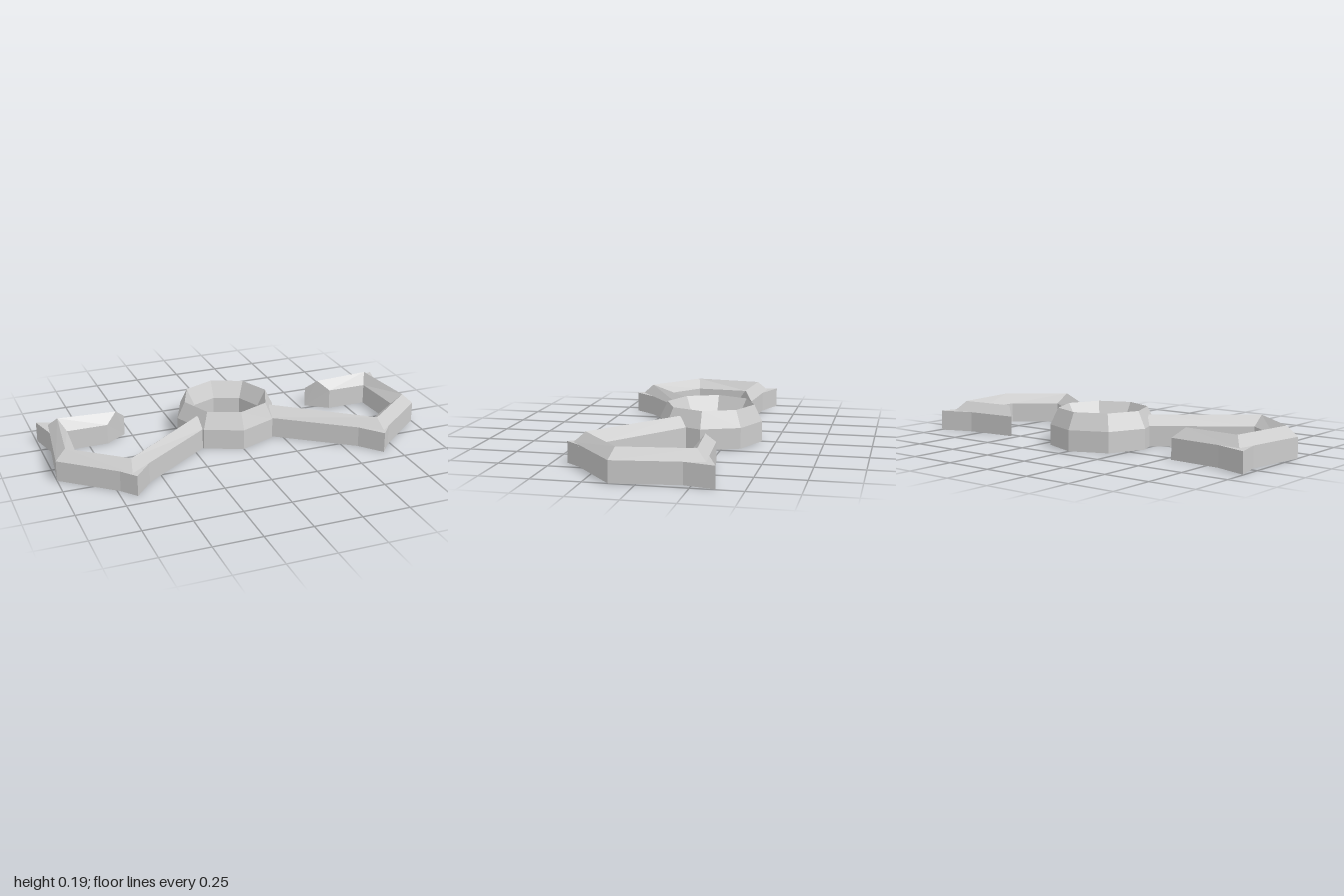
import * as THREE from 'three';

const WALL = 0.108; // height of the upright sides
const RIDGE = 0.16; // height of the arm ridge

// Arm plan stations as [x, z]: outer edge, ridge, inner edge
const ARM = [
  [[0.185, 0.025], [0.205, -0.03], [0.235, -0.072]],
  [[0.683, 0.388], [0.67, 0.33], [0.675, 0.252]],
  [[1.0, 0.125], [0.945, 0.105], [0.885, 0.09]],
  [[0.942, -0.315], [0.9, -0.265], [0.866, -0.2]],
  [[0.535, -0.283], [0.59, -0.24], [0.65, -0.2]],
];

// Flat spikes at the elbow and the hook corner
const SPIKES = {
  elbowSpike: [[0.575, 0.31], [0.67, 0.424], [0.735, 0.345]],
  hookSpike: [[0.955, -0.21], [0.995, -0.367], [0.82, -0.305]],
};

// Sweeps a house-shaped section along the stations
function armGeometry(side) {
  const loops = ARM.map(([o, r, i]) => [
    [o, 0], [o, WALL], [r, RIDGE], [i, WALL], [i, 0],
  ].map(([p, y]) => [p[0] * side, y, p[1]]));
  const pos = [];
  const tri = (a, b, c) => pos.push(...a, ...(side > 0 ? b : c), ...(side > 0 ? c : b));
  for (let s = 0; s < loops.length - 1; s++) {
    const A = loops[s], B = loops[s + 1];
    for (let j = 0; j < 5; j++) {
      const k = (j + 1) % 5;
      tri(A[j], B[j], B[k]);
      tri(A[j], B[k], A[k]);
    }
  }
  const first = loops[0], last = loops[loops.length - 1];
  for (let j = 1; j < 4; j++) {
    tri(first[0], first[j], first[j + 1]);
    tri(last[0], last[j + 1], last[j]);
  }
  const g = new THREE.BufferGeometry();
  g.setAttribute('position', new THREE.Float32BufferAttribute(pos, 3));
  g.computeVertexNormals();
  return g;
}

// Upright prism over a plan outline
function spikeGeometry(points, side) {
  const shape = new THREE.Shape(points.map(([x, z]) => new THREE.Vector2(x * side, z)));
  const g = new THREE.ExtrudeGeometry(shape, { depth: WALL, bevelEnabled: false });
  return g.rotateX(Math.PI / 2).translate(0, WALL, 0);
}

export function createModel() {
  const model = new THREE.Group();
  const material = new THREE.MeshStandardMaterial({ color: 0xcccccc, flatShading: true });
  const add = (parent, name, geometry) => {
    const mesh = new THREE.Mesh(geometry, material);
    mesh.name = name;
    parent.add(mesh);
    return mesh;
  };

  // Eight-sided centre ring with a raised ridge
  const profile = [[0.187, 0], [0.275, 0], [0.275, WALL], [0.233, 0.195], [0.187, WALL], [0.187, 0]]
    .map(([r, y]) => new THREE.Vector2(r, y));
  add(model, 'centreRing', new THREE.LatheGeometry(profile, 8)).position.z = -0.15;

  // Mirrored hooked arms
  for (const [name, side] of [['leftArm', 1], ['rightArm', -1]]) {
    const arm = new THREE.Group();
    arm.name = name;
    add(arm, 'armBar', armGeometry(side));
    for (const [spike, points] of Object.entries(SPIKES)) add(arm, spike, spikeGeometry(points, side));
    model.add(arm);
  }
  return model;
}
